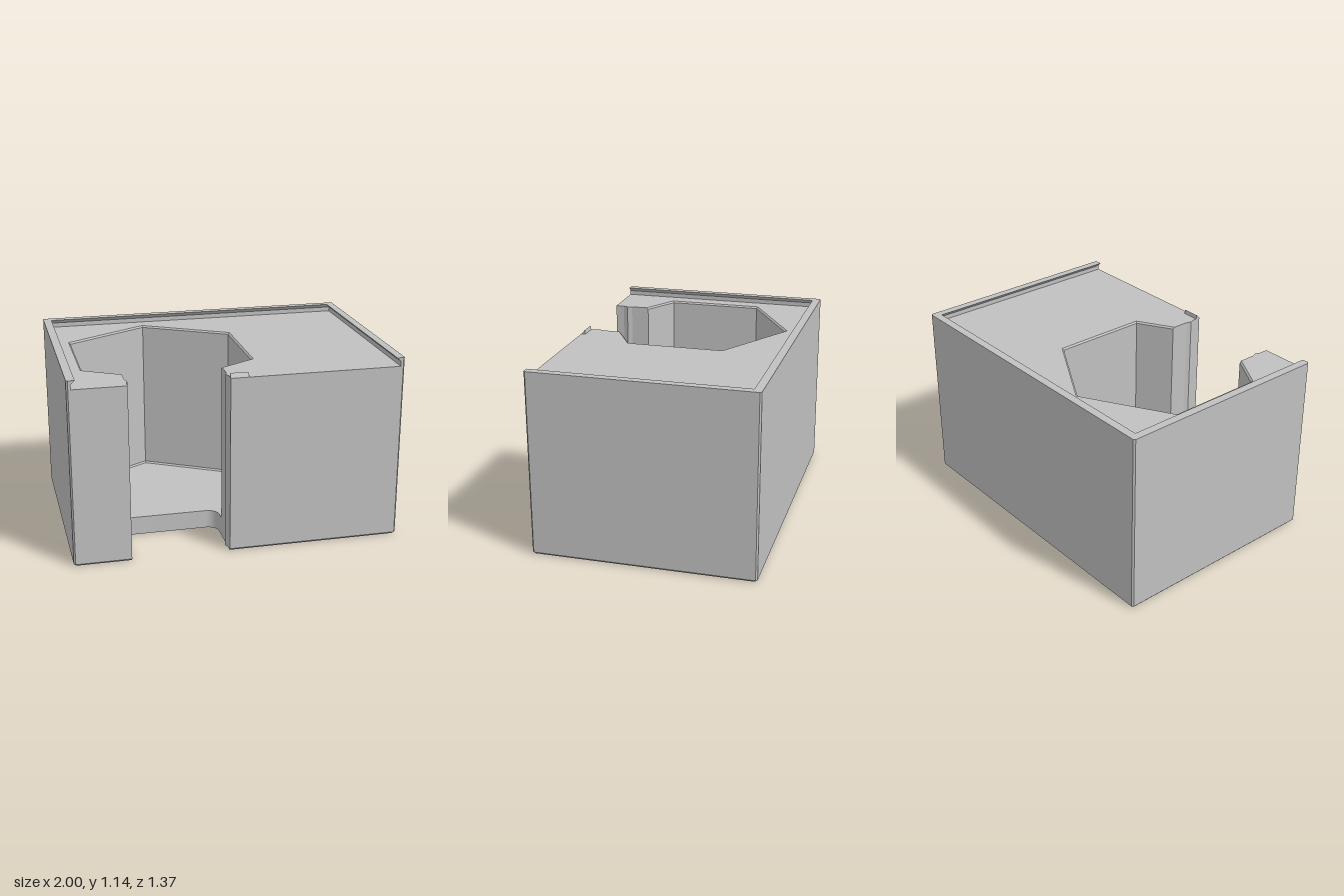
import * as THREE from 'three';
import { toCreasedNormals } from 'three/addons/utils/BufferGeometryUtils.js';

const F = 0.683;              // half depth
const CX = -0.357, CZ = 0.035; // centre of the hexagonal pocket
const HALF = 0.298;           // half width of the front opening
const DECK = 1.09, TOP = 1.143;

// Plan outlines are lists of [x, z]; all run with the solid on their left side.
const mirror = pts => pts.map(([x, z]) => [2 * CX - x, z]).reverse();

// Outside of the box with chamfered corners, from the opening round to the opening
function outer(inset) {
  const c = 0.01, X = 1 - inset, Z = F - inset;
  return [[CX + HALF, Z], [X - c, Z], [X, Z - c], [X, -Z + c], [X - c, -Z],
    [-X + c, -Z], [-X, -Z + c], [-X, Z - c], [-X + c, Z], [CX - HALF, Z]];
}

// Side of the opening, with its small snap ridge
const cheek = [[CX - HALF, 0.63], [CX - HALF + 0.011, 0.6], [CX - HALF, 0.57]];

// Pocket outline for a given distance from centre to flat
function hex(r) {
  const R = r * 2 / Math.sqrt(3);
  const left = [[CX - HALF, CZ + R - HALF / Math.sqrt(3)], [CX - r, CZ + R / 2], [CX - r, CZ - R / 2]];
  return [...left, [CX, CZ - R], ...mirror(left)];
}

// Round-cornered finger notch in the floor
function notch() {
  const r = 0.07, left = [];
  for (let i = 0; i <= 8; i++) {
    const a = i / 8 * Math.PI / 2;
    left.push([CX - HALF + r - r * Math.cos(a), 0.33 + r - r * Math.sin(a)]);
  }
  return [...left, ...mirror(left)];
}

const plan = (inset, inner) => [...outer(inset), ...cheek, ...inner, ...mirror(cheek)];

// Surface through a stack of [outline, y] levels
function skin(levels, closed) {
  const pos = [];
  for (let k = 0; k + 1 < levels.length; k++) {
    const [a, ya] = levels[k], [b, yb] = levels[k + 1];
    const n = a.length;
    for (let i = 0; i < (closed ? n : n - 1); i++) {
      const j = (i + 1) % n;
      const p = [a[i][0], ya, a[i][1]], q = [a[j][0], ya, a[j][1]];
      const s = [b[j][0], yb, b[j][1]], t = [b[i][0], yb, b[i][1]];
      pos.push(...p, ...q, ...s, ...p, ...s, ...t);
    }
  }
  const g = new THREE.BufferGeometry();
  g.setAttribute('position', new THREE.Float32BufferAttribute(pos, 3));
  return toCreasedNormals(g, 0.35);
}

// Flat horizontal face
function cap(pts, y, up) {
  const shape = new THREE.Shape(pts.map(([x, z]) => new THREE.Vector2(x, up ? -z : z)));
  return new THREE.ShapeGeometry(shape).rotateX(up ? -Math.PI / 2 : Math.PI / 2).translate(0, y, 0);
}

export function createModel() {
  const model = new THREE.Group();
  const grey = new THREE.MeshStandardMaterial({ color: 0xc0c0c0, side: THREE.DoubleSide });
  grey.name = 'grey plastic';
  const add = (name, geometry) => {
    const mesh = new THREE.Mesh(geometry, grey);
    mesh.name = name;
    model.add(mesh);
    return mesh;
  };

  // Base slab with chamfered lower edge and finger notch
  const floorY = 0.115, cut = notch();
  add('baseWalls', skin([[plan(0.01, cut), 0], [plan(0, cut), 0.012], [plan(0, cut), floorY]], true));
  add('underside', cap(plan(0.01, cut), 0, false));

  // Body walls and pocket, chamfered at the pocket's floor and mouth
  add('bodyWalls', skin([
    [plan(0, hex(0.502)), floorY], [plan(0, hex(0.512)), floorY + 0.01],
    [plan(0, hex(0.512)), DECK - 0.01], [plan(0, hex(0.5225)), DECK],
  ], true));
  add('pocketFloor', cap([...hex(0.502), ...[...cut].reverse()], floorY, true));
  add('deck', cap(plan(0, hex(0.5225)), DECK, true));

  // Undercut rail round three sides, for a sliding lid
  const rail = d => {
    const c = d === 0 ? 0.01 : 0, X = 1 - d, Z = F - d;
    const right = [[X - c, F], [X, F - c], [X, -Z + c], [X - c, -Z]];
    return [...right, ...right.map(([x, z]) => [-x, z]).reverse()];
  };
  const profile = [[0, DECK], [0, TOP], [0.05, TOP], [0.025, 1.118], [0.025, DECK]];
  add('lidRail', skin(profile.map(([d, y]) => [rail(d), y]), false));
  for (const side of [1, -1]) {
    const end = new THREE.Shape(profile.map(([d, y]) => new THREE.Vector2(side * (1 - Math.max(d, 0.01)), y)));
    add(side > 0 ? 'leftRailEnd' : 'rightRailEnd', new THREE.ShapeGeometry(end).translate(0, 0, F));
  }

  // Small ramped lid catch at the front edge
  const ramp = new THREE.Shape([[-F, DECK], [-0.66, 1.115], [-0.655, DECK]].map(p => new THREE.Vector2(...p)));
  const catchGeometry = new THREE.ExtrudeGeometry(ramp, { depth: 0.11, bevelEnabled: false });
  add('lidCatch', catchGeometry.rotateY(Math.PI / 2).translate(-0.059, 0, 0));

  return model;
}
